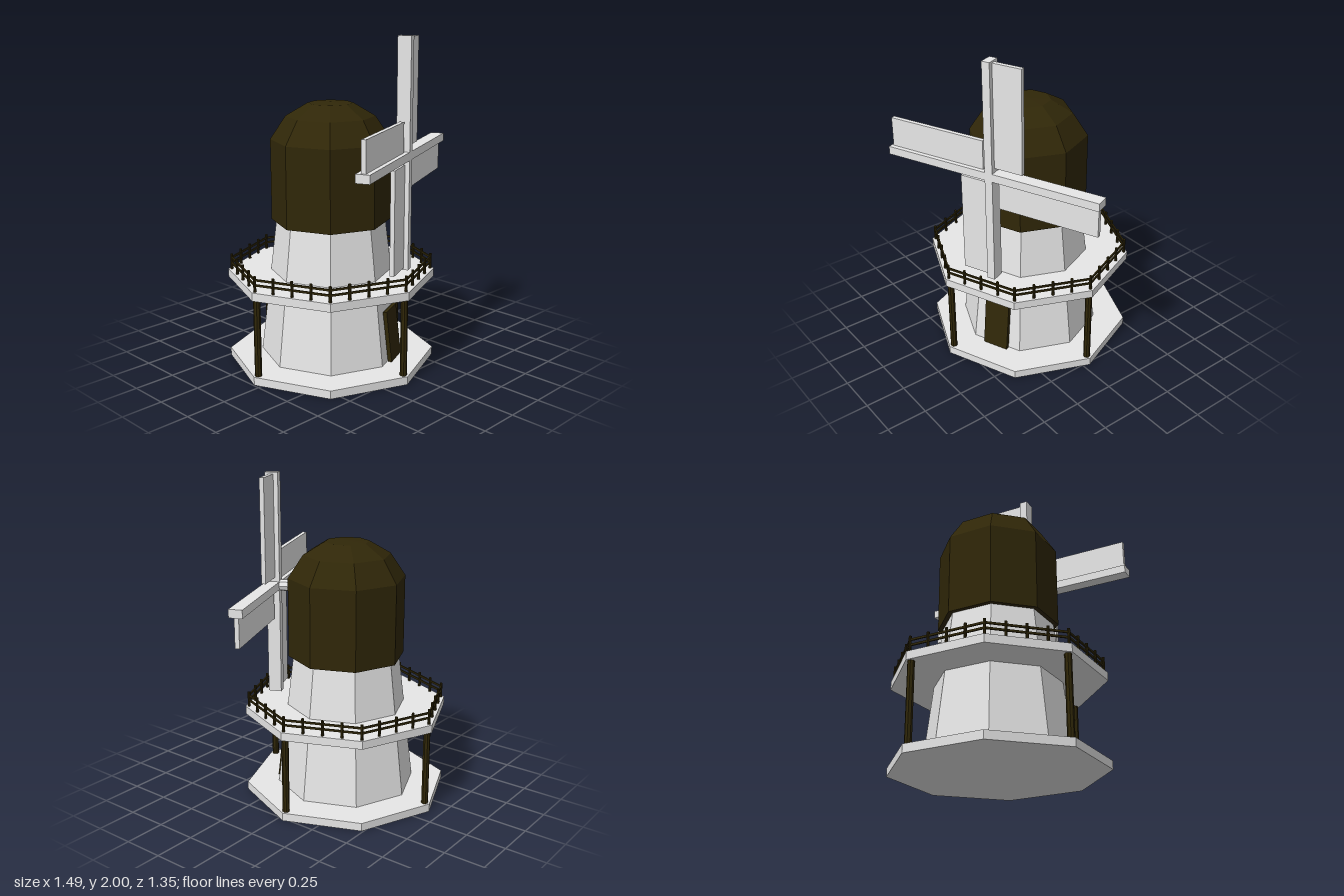
import * as THREE from 'three';

const stone = new THREE.MeshStandardMaterial({ color: 0xe7e7e7 });
stone.name = 'pale stone';
const wood = new THREE.MeshStandardMaterial({ color: 0x302708 });
wood.name = 'dark wood';

function add(parent, name, geometry, material, x = 0, y = 0, z = 0) {
  // unshared vertices give faceted normals
  const g = geometry.index ? geometry.toNonIndexed() : geometry;
  g.computeVertexNormals();
  const mesh = new THREE.Mesh(g, material);
  mesh.name = name;
  mesh.position.set(x, y, z);
  parent.add(mesh);
  return mesh;
}

const box = (w, h, d) => new THREE.BoxGeometry(w, h, d);
const prism = (rTop, rBottom, h, sides = 8) => new THREE.CylinderGeometry(rTop, rBottom, h, sides);

// corner of an octagon, with the first corner at +z
const corner = (r, y, i) =>
  new THREE.Vector3(Math.sin(i * Math.PI / 4) * r, y, Math.cos(i * Math.PI / 4) * r);

function createRailing() {
  const railing = new THREE.Group();
  railing.name = 'railing';
  const r = 0.612;
  for (let i = 0; i < 8; i++) {
    const a = corner(r, 0, i), b = corner(r, 0, i + 1);
    const mid = a.clone().lerp(b, 0.5);
    // two rails along each side
    for (const y of [0.611, 0.642]) {
      const rail = add(railing, 'rail', box(a.distanceTo(b), 0.012, 0.009), wood, mid.x, y, mid.z);
      rail.rotation.y = (i + 0.5) * Math.PI / 4;
    }
    // four uprights per side, the last shared with the next side
    for (let k = 0; k < 4; k++) {
      const p = a.clone().lerp(b, k / 4);
      add(railing, 'railingPost', prism(0.0085, 0.0085, 0.095), wood, p.x, 0.6165, p.z);
    }
  }
  return railing;
}

function createSails() {
  const sails = new THREE.Group();
  sails.name = 'sails';
  sails.position.set(0.028, 1.308, 0.455);
  sails.rotation.y = 0.008;
  // crossed spars
  add(sails, 'verticalSpar', box(0.05, 1.384, 0.082), stone);
  add(sails, 'horizontalSpar', box(1.39, 0.05, 0.082), stone);
  // one board beside each arm
  for (let i = 0; i < 4; i++) {
    const arm = new THREE.Group();
    arm.name = 'sailArm';
    arm.rotation.z = -i * Math.PI / 2;
    add(arm, 'sailBoard', box(0.18, 0.63, 0.027), stone, 0.115, 0.366, 0);
    sails.add(arm);
  }
  // axle running back into the cap
  const axle = add(sails, 'axle', prism(0.036, 0.036, 0.24), stone, 0, 0, -0.13);
  axle.rotation.x = Math.PI / 2;
  return sails;
}

export function createModel() {
  const model = new THREE.Group();
  model.name = 'windmill';
  const mill = new THREE.Group();
  mill.name = 'mill';
  mill.position.set(-0.111, 0, -0.042);
  model.add(mill);

  // base, tower and gallery deck
  add(mill, 'base', prism(0.634, 0.634, 0.05), stone, 0, 0.025, 0);
  add(mill, 'tower', prism(0.33, 0.44, 0.898), stone, 0, 0.451, 0);
  add(mill, 'deck', prism(0.634, 0.634, 0.05), stone, 0, 0.545, 0);

  // posts under every second deck corner
  for (let i = 0; i < 8; i += 2) {
    const p = corner(0.6, 0.261, i);
    add(mill, 'deckPost', prism(0.021, 0.021, 0.518), wood, p.x, p.y, p.z);
  }
  mill.add(createRailing());

  // domed cap with an open underside around the tower
  const profile = [[0.3, 0.887], [0.361, 0.887], [0.361, 1.38], [0.268, 1.52], [0.137, 1.598], [0, 1.604]]
    .map(([x, y]) => new THREE.Vector2(x, y));
  add(mill, 'cap', new THREE.LatheGeometry(profile, 8), wood);

  // door and sails face the middle of one tower side
  const facing = new THREE.Group();
  facing.name = 'millFront';
  facing.rotation.y = Math.PI / 8;
  mill.add(facing);
  const door = add(facing, 'door', box(0.168, 0.36, 0.024), wood, 0.003, 0.185, 0.403);
  door.rotation.x = -0.112;
  facing.add(createSails());

  return model;
}
